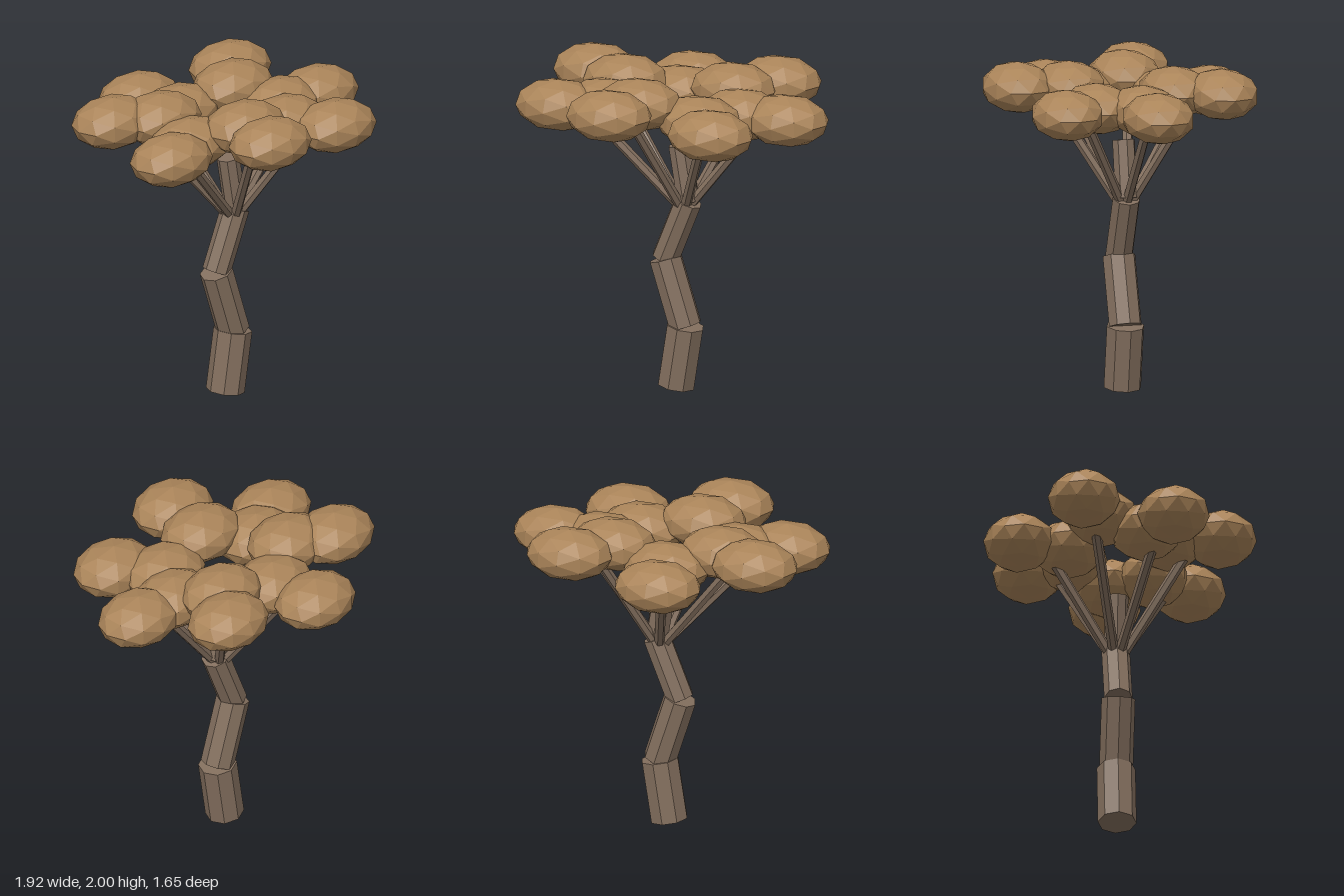
import * as THREE from 'three';

export function createModel() {
  const model = new THREE.Group();
  model.name = 'tree';

  const bark = new THREE.MeshStandardMaterial({ color: 0x836f5e, flatShading: true });
  bark.name = 'bark brown';
  const leaf = new THREE.MeshStandardMaterial({ color: 0xaa8459, flatShading: true });
  leaf.name = 'autumn leaf tan';

  // Straight log between two points
  function log(name, from, to, radius, sides) {
    const dir = to.clone().sub(from);
    const mesh = new THREE.Mesh(
      new THREE.CylinderGeometry(radius, radius, dir.length(), sides), bark);
    mesh.position.copy(from).add(to).multiplyScalar(0.5);
    mesh.quaternion.setFromUnitVectors(new THREE.Vector3(0, 1, 0), dir.normalize());
    mesh.name = name;
    return mesh;
  }

  // Zigzag trunk of four thinning segments
  const trunk = new THREE.Group();
  trunk.name = 'trunk';
  const joints = [[-0.035, 0.02], [0.025, 0.4], [-0.105, 0.807], [0.045, 1.18], [-0.013, 1.525]]
    .map(([x, y]) => new THREE.Vector3(x, y, 0));
  [0.117, 0.102, 0.086, 0.07].forEach((r, i) =>
    trunk.add(log(`trunkSegment${i + 1}`, joints[i], joints[i + 1], r, 8)));

  // Seven branches, each carrying an inner and an outer leaf clump
  const branches = new THREE.Group();
  branches.name = 'branches';
  const crown = new THREE.Group();
  crown.name = 'crown';
  const clumpShape = new THREE.IcosahedronGeometry(1, 1).scale(0.27, 0.155, 0.218);

  function clump(name, position) {
    const mesh = new THREE.Mesh(clumpShape, leaf);
    mesh.position.copy(position);
    mesh.name = name;
    crown.add(mesh);
  }

  for (let i = 0; i < 7; i++) {
    const angle = (i / 7) * Math.PI * 2;
    const c = Math.cos(angle), s = -Math.sin(angle);
    const y = i % 2 ? 1.845 : 1.765;
    const inner = new THREE.Vector3(-0.04 + 0.435 * c, y, 0.31 * s);
    const outer = new THREE.Vector3(-0.036 + 0.726 * c, y, 0.622 * s);
    clump(`innerClump${i + 1}`, inner);
    clump(`outerClump${i + 1}`, outer);
    const root = new THREE.Vector3(0.02 + 0.04 * c, 1.16, 0.045 * s);
    const tip = inner.clone().lerp(outer, 0.5);
    branches.add(log(`branch${i + 1}`, root, tip, 0.031, 6));
  }

  model.add(trunk, branches, crown);
  return model;
}
